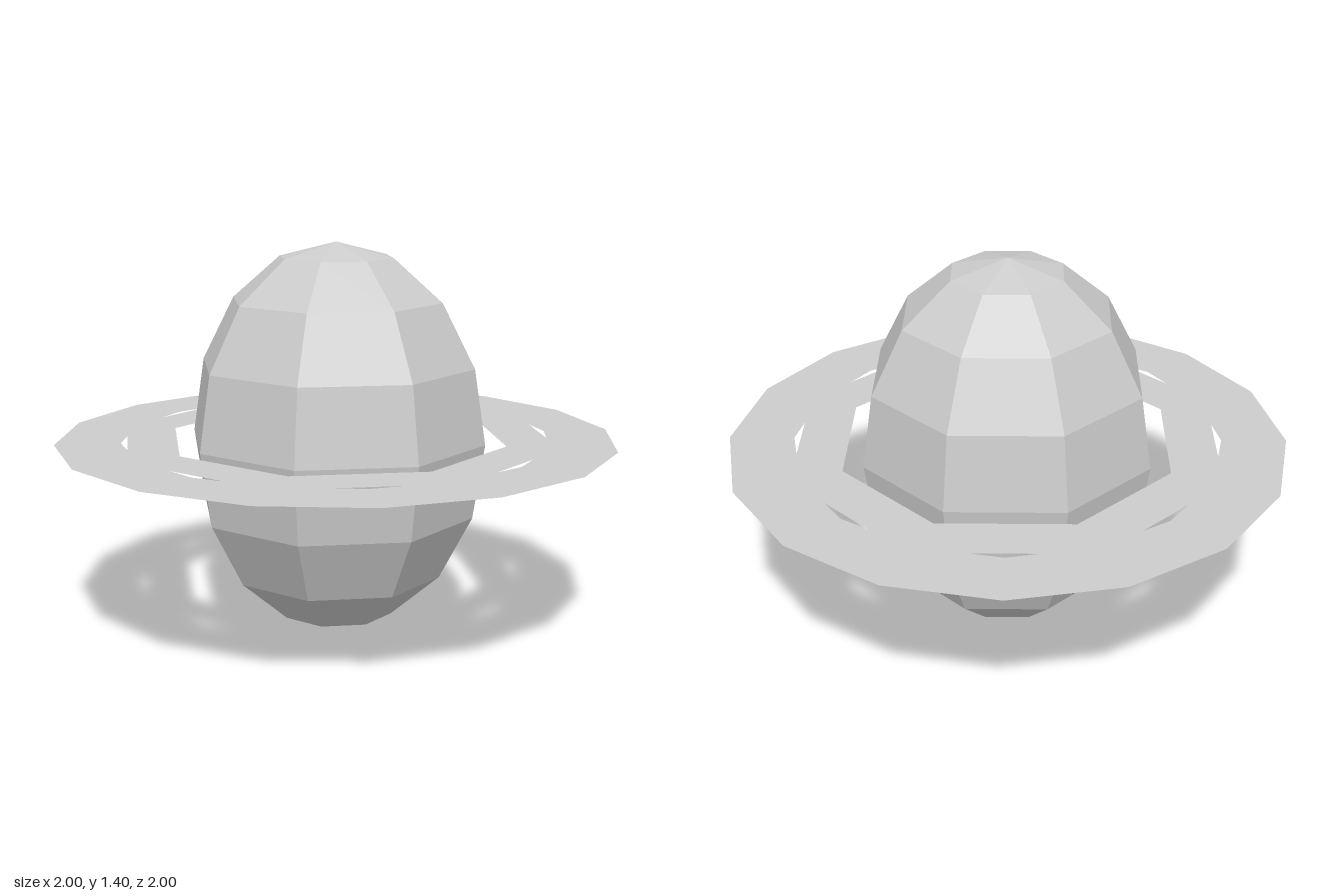
import * as THREE from 'three';

export function createModel() {
  const model = new THREE.Group();
  const centreY = 0.7;

  const planetGrey = new THREE.MeshStandardMaterial({ color: 0xcccccc });
  planetGrey.name = 'planetGrey';
  planetGrey.flatShading = true;
  planetGrey.side = THREE.DoubleSide;

  // Faceted, upright egg-shaped planet with eight sides
  const body = new THREE.SphereGeometry(1, 8, 8);
  body.scale(0.54, 0.7, 0.54);
  const planet = new THREE.Mesh(body, planetGrey);
  planet.name = 'planet';
  planet.position.y = centreY;
  model.add(planet);

  // Two flat overlapping rings; their differing side counts leave thin slits
  const addRing = (name, inner, outer, sides) => {
    const ring = new THREE.Mesh(new THREE.RingGeometry(inner, outer, sides), planetGrey);
    ring.name = name;
    ring.rotation.x = -Math.PI / 2;
    ring.position.y = centreY;
    model.add(ring);
  };
  addRing('innerRing', 0.615, 0.805, 8);
  addRing('outerRing', 0.767, 1, 16);

  return model;
}
